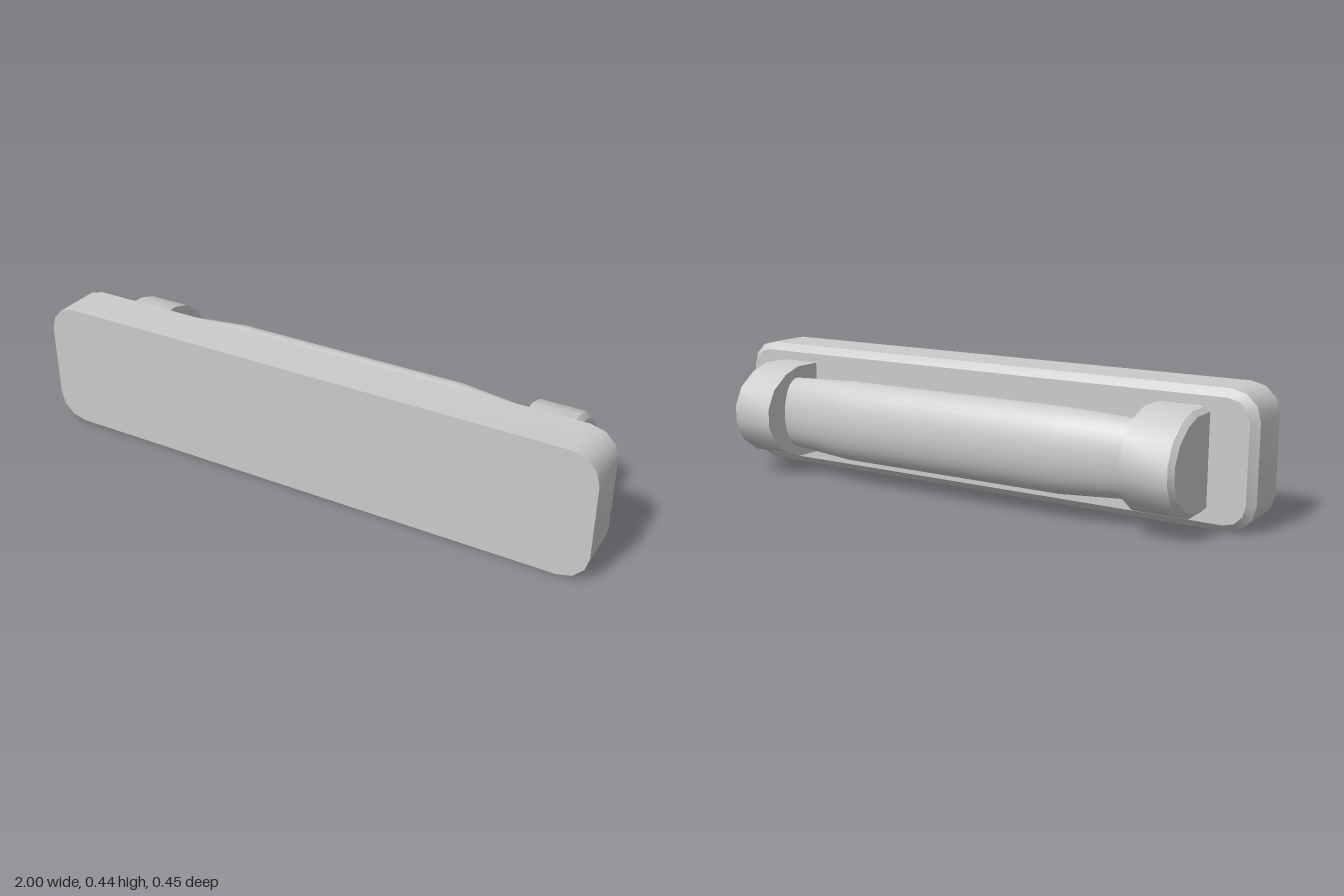
import * as THREE from 'three';
import { toCreasedNormals } from 'three/addons/utils/BufferGeometryUtils.js';

const material = new THREE.MeshStandardMaterial({ color: 0xcccccc });
const MID_Y = 0.222;

// Skin a solid over convex rings; each ring runs counter-clockwise seen from the last ring's side.
function loft(name, rings) {
  const pos = [];
  const tri = (a, b, c) => pos.push(...a, ...b, ...c);
  const n = rings[0].length;
  const centre = (ring) => [0, 1, 2].map((k) => ring.reduce((s, p) => s + p[k], 0) / n);
  const first = rings[0], last = rings[rings.length - 1];
  for (let j = 0; j < n; j++) {
    const k = (j + 1) % n;
    for (let i = 0; i + 1 < rings.length; i++) {
      const a = rings[i], b = rings[i + 1];
      tri(a[j], a[k], b[k]);
      tri(a[j], b[k], b[j]);
    }
    tri(centre(first), first[k], first[j]);
    tri(centre(last), last[j], last[k]);
  }
  const geometry = new THREE.BufferGeometry();
  geometry.setAttribute('position', new THREE.Float32BufferAttribute(pos, 3));
  const mesh = new THREE.Mesh(toCreasedNormals(geometry, THREE.MathUtils.degToRad(35)), material);
  mesh.name = name;
  return mesh;
}

// Rounded rectangle ring of the plate at depth z
function plateRing(z, inset) {
  const radius = 0.095 - inset, w = 1 - 0.095, h = MID_Y - 0.095;
  const ring = [];
  [[1, 1], [-1, 1], [-1, -1], [1, -1]].forEach(([sx, sy], corner) => {
    for (let s = 0; s <= 3; s++) {
      const a = (corner + s / 3) * Math.PI / 2;
      ring.push([sx * w + radius * Math.cos(a), MID_Y + sy * h + radius * Math.sin(a), z]);
    }
  });
  return ring;
}

// Domed bracket ring at position x
function bracketRing(x, inset) {
  const front = 0.045;
  const half = [[0.165, -0.063], [0.143, -0.13], [0.095, -0.195], [0.032, -0.226]];
  const points = [[0.165, front], [-0.165, front],
    ...half.map(([y, z]) => [-y, z]), ...half.slice().reverse()];
  const sy = 1 - inset / 0.165, sz = 1 - inset / 0.271;
  return points.map(([y, z]) => [x, MID_Y + y * sy, front + (z - front) * sz]);
}

// Oval grip ring at position x, spanning zBack to zFront
function gripRing(x, halfHeight, zBack, zFront) {
  return Array.from({ length: 32 }, (_, i) => {
    const a = i / 32 * Math.PI * 2;
    return [x, MID_Y + halfHeight * Math.cos(a),
      (zBack + zFront) / 2 + (zFront - zBack) / 2 * Math.sin(a)];
  });
}

export function createModel() {
  const model = new THREE.Group();
  model.name = 'handlePlate';

  // Front plate with a chamfered back edge
  model.add(loft('plate', [plateRing(0.038, 0.025), plateRing(0.063, 0), plateRing(0.228, 0)]));

  // Brackets, chamfered on their outer sides
  model.add(loft('leftBracket', [bracketRing(0.68, 0), bracketRing(0.834, 0), bracketRing(0.85, 0.016)]));
  model.add(loft('rightBracket', [bracketRing(-0.85, 0.016), bracketRing(-0.834, 0), bracketRing(-0.68, 0)]));

  // Grip bar, tapering toward the brackets
  model.add(loft('gripBar', [
    gripRing(-0.69, 0.125, -0.14, 0),
    gripRing(-0.42, 0.14, -0.18, 0.005),
    gripRing(0.42, 0.14, -0.18, 0.005),
    gripRing(0.69, 0.125, -0.14, 0),
  ]));
  return model;
}
